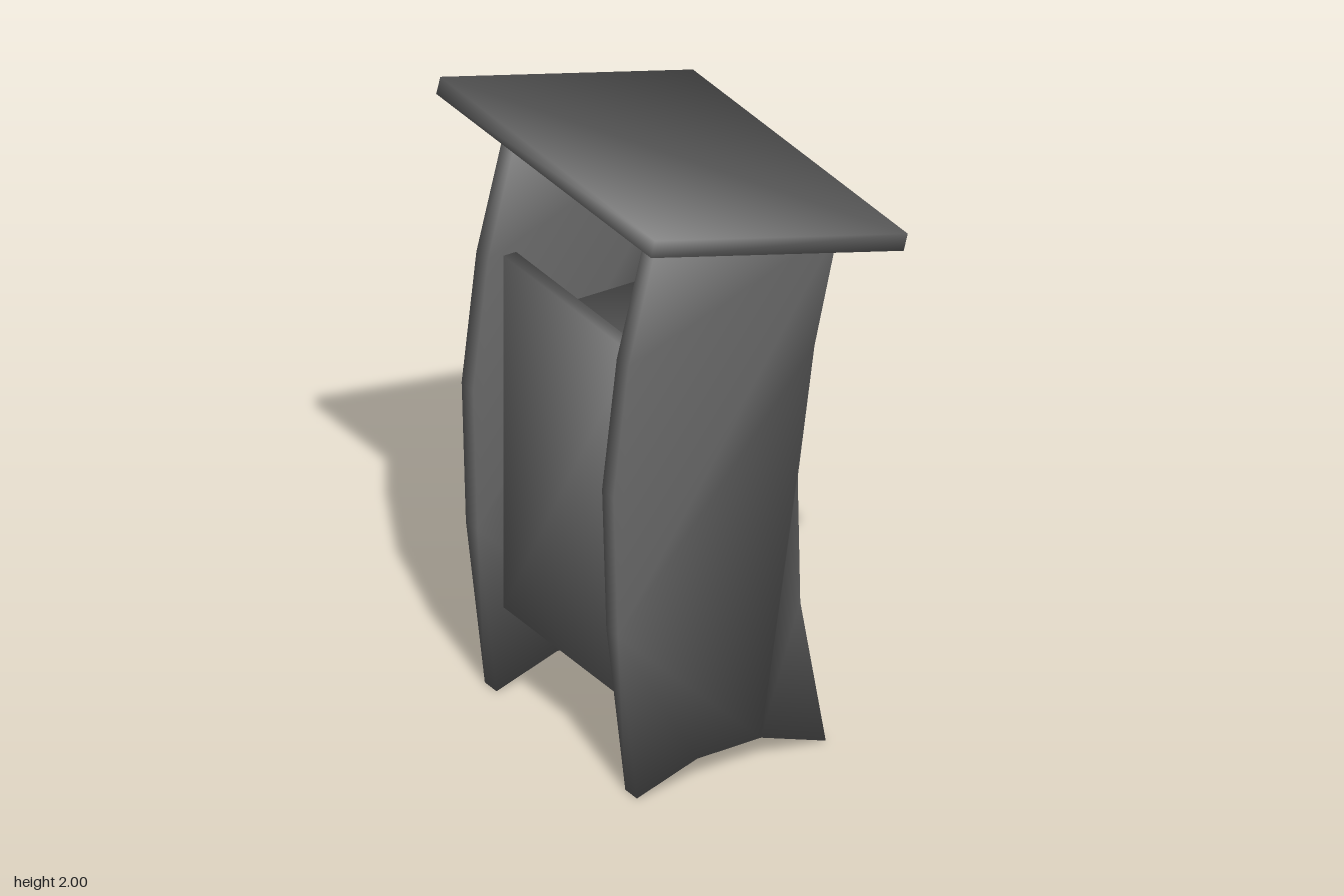
import * as THREE from 'three';
import { mergeVertices } from 'three/addons/utils/BufferGeometryUtils.js';

// Share vertices across edges and give them angle-weighted smooth normals
function smooth(source) {
  source.deleteAttribute('normal');
  source.deleteAttribute('uv');
  const geometry = mergeVertices(source, 1e-4);
  const { index, attributes: { position } } = geometry;
  const normals = Array.from({ length: position.count }, () => new THREE.Vector3());
  const triangle = new THREE.Triangle();
  const faceNormal = new THREE.Vector3();
  for (let i = 0; i < index.count; i += 3) {
    const ids = [0, 1, 2].map((k) => index.getX(i + k));
    triangle.setFromAttributeAndIndices(position, ...ids);
    triangle.getNormal(faceNormal);
    const corners = [triangle.a, triangle.b, triangle.c];
    ids.forEach((id, k) => {
      const toNext = corners[(k + 1) % 3].clone().sub(corners[k]);
      const toLast = corners[(k + 2) % 3].clone().sub(corners[k]);
      normals[id].addScaledVector(faceNormal, toNext.angleTo(toLast));
    });
  }
  const values = normals.flatMap((n) => n.normalize().toArray());
  geometry.setAttribute('normal', new THREE.Float32BufferAttribute(values, 3));
  return geometry;
}

export function createModel() {
  const model = new THREE.Group();
  model.name = 'lectern';
  const material = new THREE.MeshStandardMaterial({ color: 0x696969 });

  function add(name, geometry, x, y, z) {
    const mesh = new THREE.Mesh(geometry, material);
    mesh.name = name;
    mesh.position.set(x, y, z);
    model.add(mesh);
    return mesh;
  }
  const board = (w, h, d) => smooth(new THREE.BoxGeometry(w, h, d));

  // Sloping desk top, high at the front
  const desk = add('deskTop', board(1.2, 0.056, 0.925), 0, 1.853, 0);
  desk.rotation.x = THREE.MathUtils.degToRad(-15);

  // Bowed side panels: outline as (z, y), with an arched foot
  const outline = [
    [0.393, 0], [0.46, 0.57], [0.475, 1.05], [0.423, 1.48], [0.313, 1.91],
    [-0.323, 1.742], [-0.235, 1.36], [-0.176, 0.93], [-0.185, 0.5], [-0.275, 0],
    [-0.046, 0.078], [0.18, 0.073],
  ].map(([z, y]) => new THREE.Vector2(z, y));
  const thickness = 0.065;
  const sideGeometry = smooth(
    new THREE.ExtrudeGeometry(new THREE.Shape(outline), { depth: thickness, bevelEnabled: false })
      .translate(0, 0, -thickness / 2)
      .rotateY(-Math.PI / 2)
  );
  add('leftSide', sideGeometry, 0.392, 0, 0);
  add('rightSide', sideGeometry, -0.392, 0, 0);

  // Front panel and inner shelf between the sides
  add('frontPanel', board(0.72, 1.2, 0.045), 0, 0.88, 0.346);
  add('shelf', board(0.72, 0.045, 0.45), 0, 1.232, 0.1);

  // The whole lectern stands turned to one side
  model.rotation.y = THREE.MathUtils.degToRad(-14.5);
  const root = new THREE.Group();
  root.add(model);
  return root;
}
